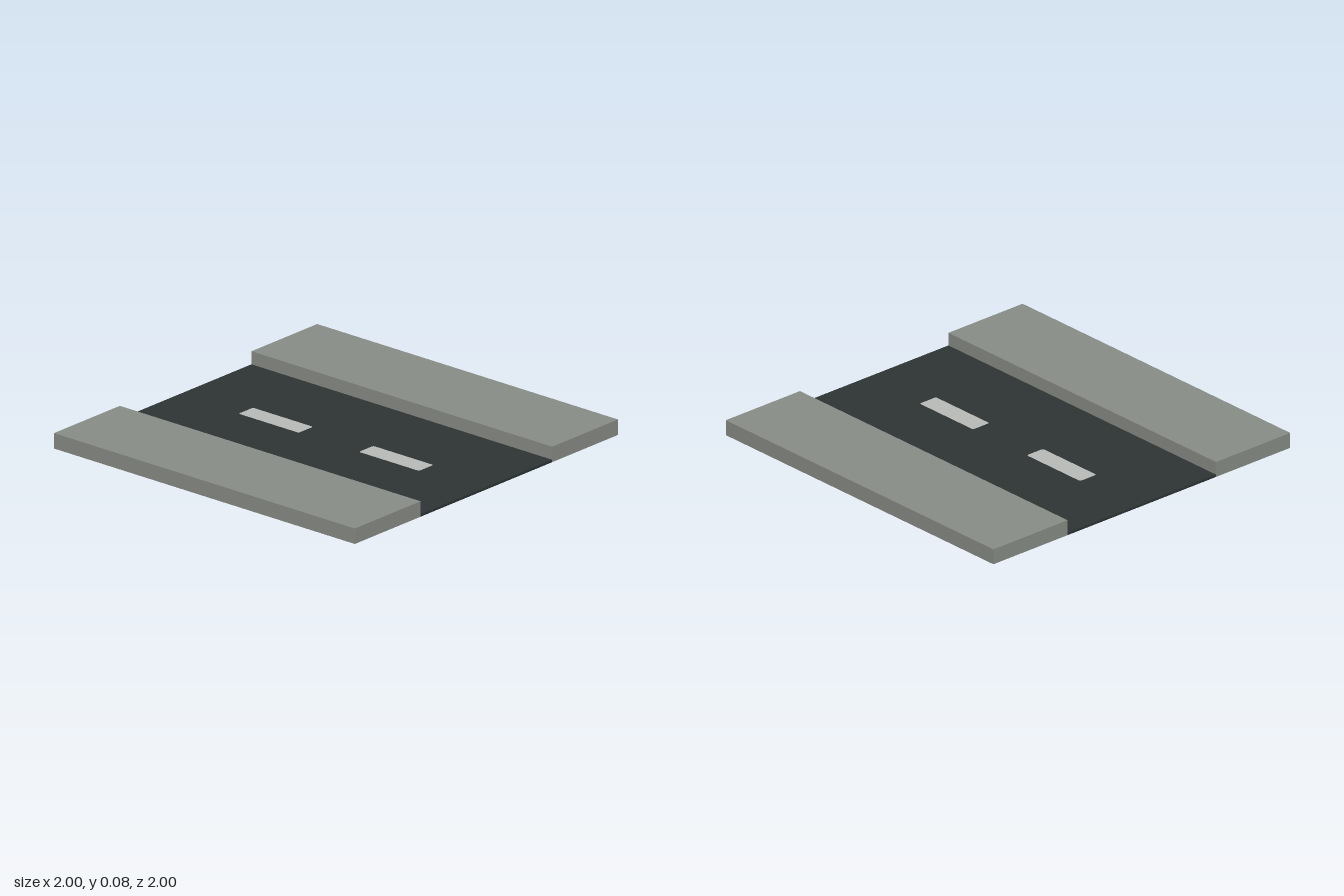
import * as THREE from 'three';

const paint = (name, color) => {
  const m = new THREE.MeshStandardMaterial({ color, side: THREE.DoubleSide });
  m.name = name;
  return m;
};

// Box standing on y = 0 that keeps only the listed faces (0 +x, 1 -x, 2 +y, 3 -y, 4 +z, 5 -z)
function openBox(w, h, d, faces) {
  const g = new THREE.BoxGeometry(w, h, d).translate(0, h / 2, 0);
  const index = Array.from(g.index.array);
  g.setIndex(faces.flatMap((f) => index.slice(f * 6, f * 6 + 6)));
  g.clearGroups();
  return g;
}

// Rectangle outline with rounded corners, centred on (cx, 0)
function roundedRect(path, cx, w, h, r) {
  const x = w / 2 - r, y = h / 2 - r;
  path.absarc(cx + x, y, r, 0, Math.PI / 2);
  path.absarc(cx - x, y, r, Math.PI / 2, Math.PI);
  path.absarc(cx - x, -y, r, Math.PI, Math.PI * 1.5);
  path.absarc(cx + x, -y, r, Math.PI * 1.5, Math.PI * 2);
  path.closePath();
  return path;
}

export function createModel() {
  const model = new THREE.Group();
  model.name = 'roadTile';
  const concrete = paint('concrete', 0x8a8e88);
  const asphalt = paint('asphalt', 0x2d3534);
  const linePaint = paint('linePaint', 0xbbbdbb);
  const roadHeight = 0.013;

  const add = (name, geometry, material) => {
    const mesh = new THREE.Mesh(geometry, material);
    mesh.name = name;
    model.add(mesh);
    return mesh;
  };
  const layFlat = (shape) =>
    new THREE.ShapeGeometry(shape, 4).rotateX(-Math.PI / 2).translate(0, roadHeight, 0);

  // Raised pavements, hollow underneath
  for (const [name, z] of [['frontPavement', 0.75], ['backPavement', -0.75]]) {
    add(name, openBox(2, 0.083, 0.5, [0, 1, 2, 4, 5]), concrete).position.z = z;
  }

  // Road surface with openings that the lane dashes fill flush
  const road = new THREE.Shape([[-1, -0.5], [1, -0.5], [1, 0.5], [-1, 0.5]].map((p) => new THREE.Vector2(...p)));
  for (const [name, x] of [['rightLaneDash', -0.4], ['leftLaneDash', 0.4]]) {
    road.holes.push(roundedRect(new THREE.Path(), x, 0.4, 0.11, 0.012));
    add(name, layFlat(roundedRect(new THREE.Shape(), x, 0.4, 0.11, 0.012)), linePaint);
  }
  add('roadSurface', layFlat(road), asphalt);

  // Thin end edges of the road
  add('roadEnds', openBox(2, roadHeight, 1, [0, 1]), asphalt);

  return model;
}
